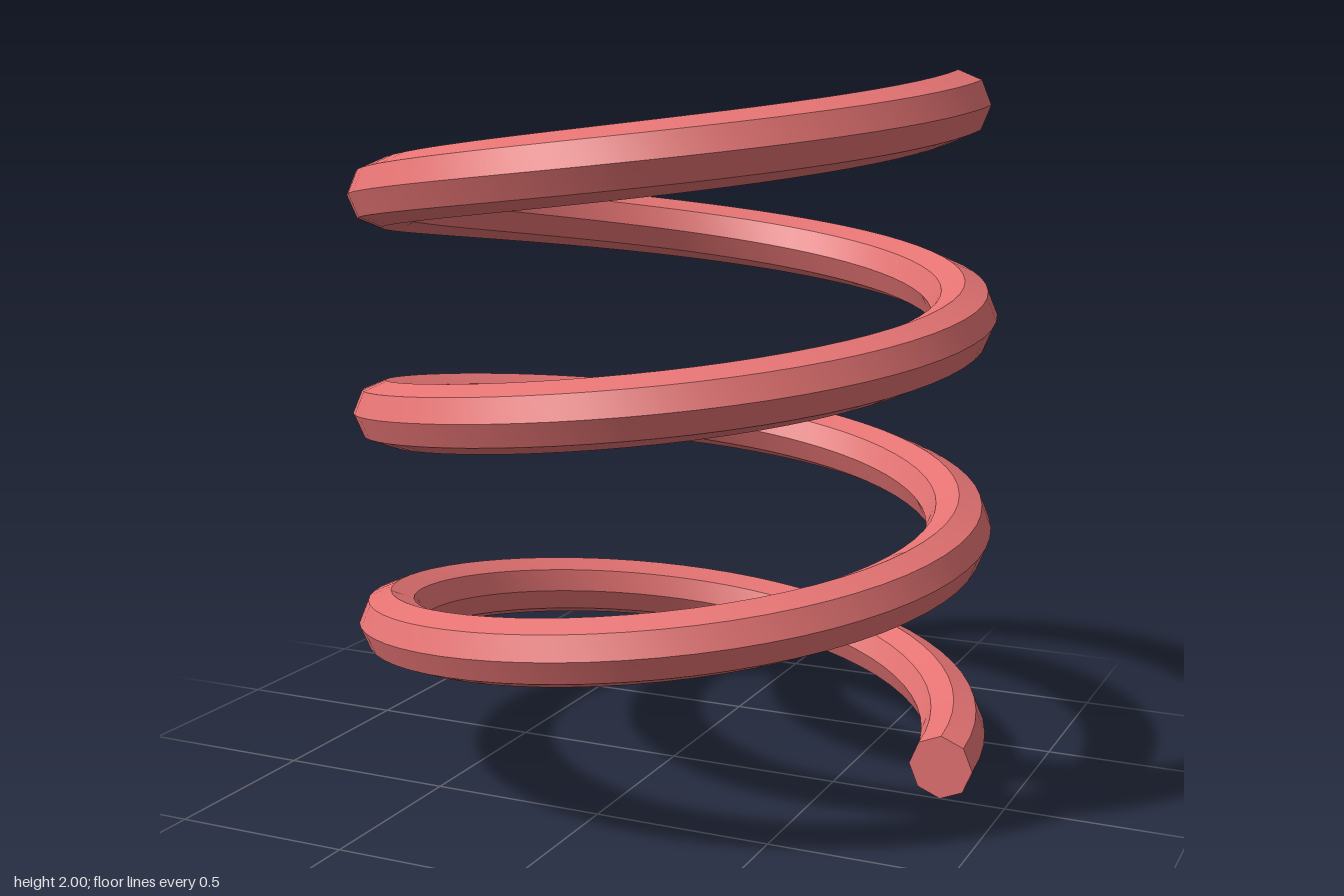
import * as THREE from 'three';
import { toCreasedNormals } from 'three/addons/utils/BufferGeometryUtils.js';

const TURNS = 3;
const STEPS = 64 * TURNS;   // sections along the wire
const SIDES = 8;            // octagonal wire
const COIL_RADIUS = 0.815;
const WIRE_RADIUS = 0.091;
const RISE = 2 - 2 * WIRE_RADIUS;

// Sweeps an upright octagon along the helix and caps both ends.
function coilGeometry() {
  const positions = [];
  const index = [];

  for (let i = 0; i <= STEPS; i++) {
    const t = i / STEPS;
    const turn = t * TURNS * Math.PI * 2;
    for (let j = 0; j < SIDES; j++) {
      const a = (j / SIDES) * Math.PI * 2;
      const r = COIL_RADIUS + WIRE_RADIUS * Math.cos(a);
      const y = WIRE_RADIUS + RISE * t + WIRE_RADIUS * Math.sin(a);
      positions.push(r * Math.cos(turn), y, -r * Math.sin(turn));
    }
  }

  // wire surface
  for (let i = 0; i < STEPS; i++) {
    for (let j = 0; j < SIDES; j++) {
      const k = (j + 1) % SIDES;
      const a = i * SIDES + j, b = i * SIDES + k;
      const c = a + SIDES, d = b + SIDES;
      index.push(a, c, b, b, c, d);
    }
  }

  // end caps
  const last = STEPS * SIDES;
  for (let j = 1; j < SIDES - 1; j++) {
    index.push(0, j, j + 1);
    index.push(last, last + j + 1, last + j);
  }

  const geometry = new THREE.BufferGeometry();
  geometry.setAttribute('position', new THREE.Float32BufferAttribute(positions, 3));
  geometry.setIndex(index);
  // smooth along the wire, sharp between its eight sides
  return toCreasedNormals(geometry, 0.5);
}

export function createModel() {
  const group = new THREE.Group();
  group.name = 'spring';
  const coil = new THREE.Mesh(
    coilGeometry(),
    new THREE.MeshStandardMaterial({ color: 0xe57373 })
  );
  coil.name = 'coil';
  group.add(coil);
  return group;
}
